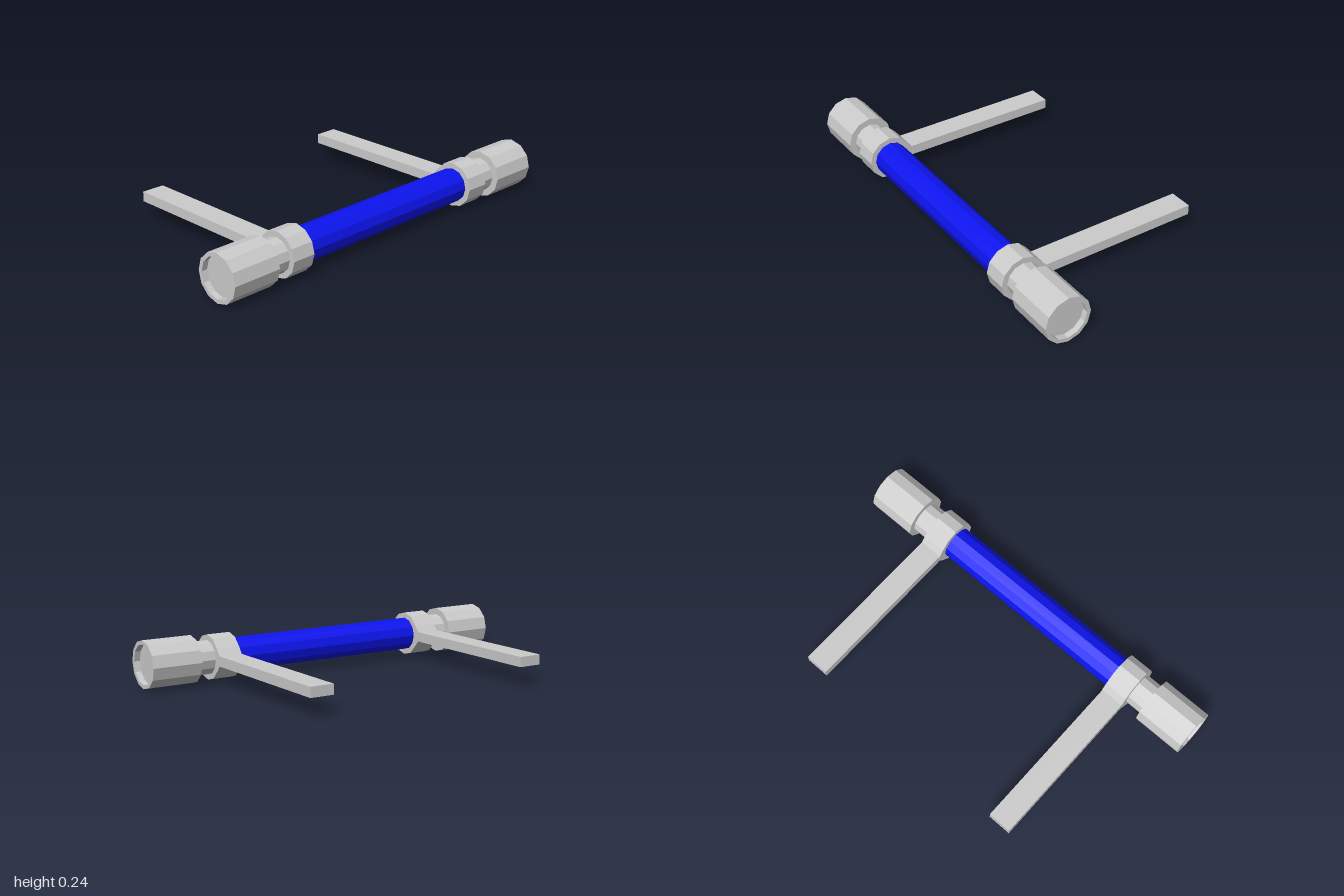
import * as THREE from 'three';

const SIDES = 12;
const AXIS_Y = 0.12, AXIS_Z = 0.417;
const grey = new THREE.MeshStandardMaterial({ color: 0xcccccc, flatShading: true });
const blue = new THREE.MeshStandardMaterial({ color: 0x0c14f0, flatShading: true });

function part(name, geometry, material, parent) {
  const mesh = new THREE.Mesh(geometry, material);
  mesh.name = name;
  parent.add(mesh);
  return mesh;
}

// Turned part along the bar axis; side = 1 or -1 picks the end it sits on.
function turned(name, profile, material, side, parent) {
  const points = profile.map(([r, d]) => new THREE.Vector2(r, d));
  const mesh = part(name, new THREE.LatheGeometry(points, SIDES), material, parent);
  mesh.rotation.z = -side * Math.PI / 2;
  mesh.position.set(0, AXIS_Y, AXIS_Z);
}

// Twelve-sided collar whose rear corner is flattened out to meet the arm.
function collarGeometry(width) {
  const shape = new THREE.Shape();
  const r = 0.113;
  for (let i = 0; i < SIDES; i++) {
    const a = (i / SIDES) * Math.PI * 2;
    if (i === 0) {
      shape.moveTo(0.124, -0.027);
      shape.lineTo(0.124, 0.023);
    } else {
      shape.lineTo(r * Math.cos(a), r * Math.sin(a));
    }
  }
  shape.closePath();
  const geometry = new THREE.ExtrudeGeometry(shape, { depth: width, bevelEnabled: false });
  geometry.translate(0, 0, -width / 2);
  geometry.rotateY(Math.PI / 2); // shape +x becomes -z, the rear
  return geometry;
}

export function createModel() {
  const model = new THREE.Group();
  model.name = 'handlebar';

  // Central grip
  turned('grip', [[0, -0.54], [0.085, -0.54], [0.085, 0.54], [0, 0.54]], blue, 1, model);

  for (const side of [1, -1]) {
    const end = new THREE.Group();
    end.name = side > 0 ? 'leftEnd' : 'rightEnd';
    model.add(end);

    // Neck between collar and end cap
    turned('neck', [[0, 0.64], [0.085, 0.64], [0.085, 0.76], [0, 0.76]], grey, side, end);

    // End cap with a shallow recess in its outer face
    turned('endCap', [
      [0, 0.745], [0.119, 0.745], [0.119, 1], [0.099, 1], [0.099, 0.97], [0, 0.97],
    ], grey, side, end);

    // Collar around the bar
    const collar = part('collar', collarGeometry(0.122), grey, end);
    collar.position.set(side * 0.594, AXIS_Y, AXIS_Z);

    // Flat arm reaching back from the collar
    const arm = part('arm', new THREE.BoxGeometry(0.12, 0.05, 0.835), grey, end);
    arm.position.set(side * 0.595, 0.118, -0.1175);
  }
  return model;
}
